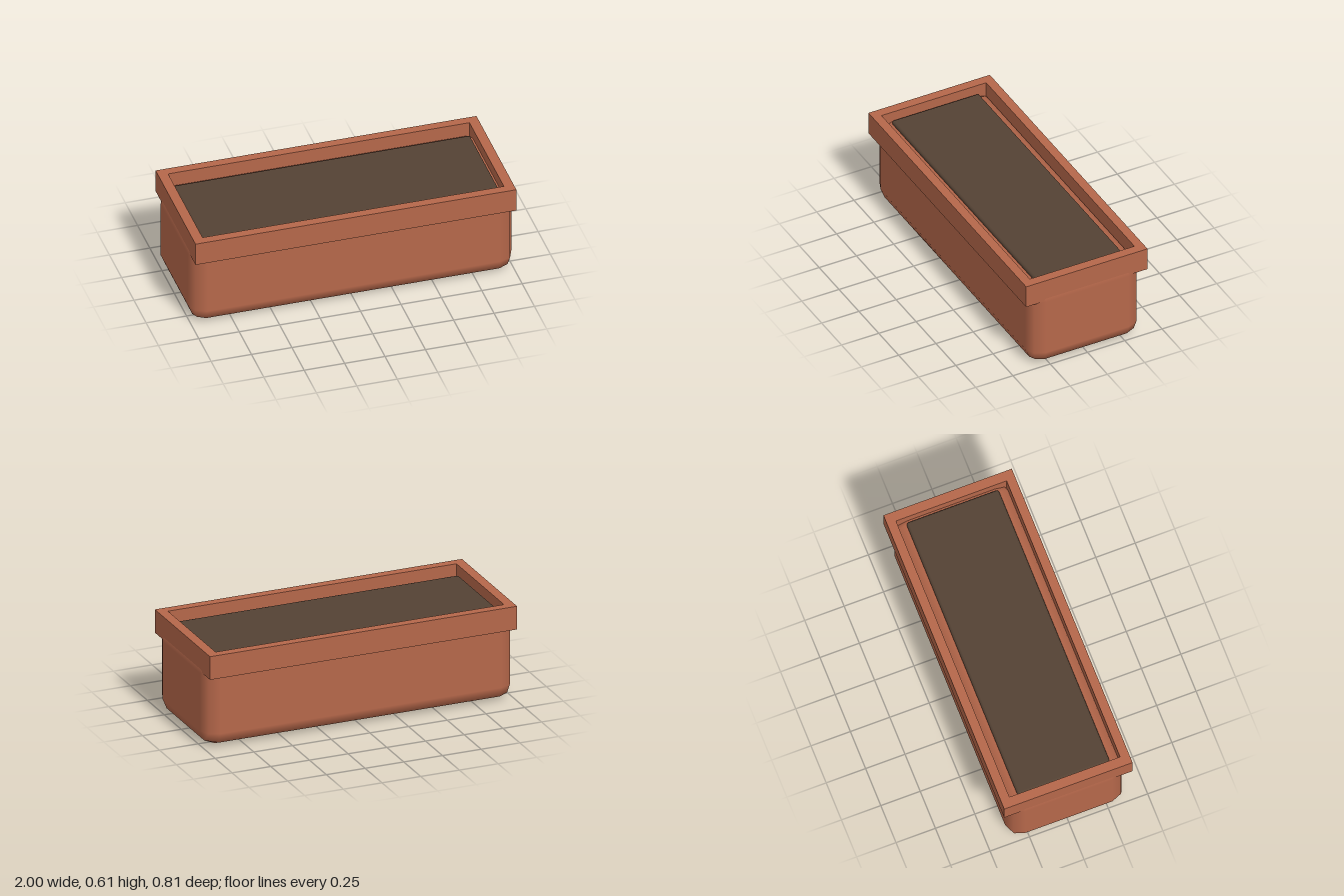
import * as THREE from 'three';
import { RoundedBoxGeometry } from 'three/addons/geometries/RoundedBoxGeometry.js';

const terracotta = new THREE.MeshStandardMaterial({ color: 0xb5674a });
terracotta.name = 'terracotta';
const soilBrown = new THREE.MeshStandardMaterial({ color: 0x544234 });
soilBrown.name = 'soilBrown';

function addPart(group, name, geometry, material, y) {
  const mesh = new THREE.Mesh(geometry, material);
  mesh.name = name;
  mesh.position.y = y;
  group.add(mesh);
  return mesh;
}

// Traces a rectangle centred on the origin
function rectangle(path, halfX, halfZ) {
  path.moveTo(-halfX, -halfZ);
  path.lineTo(halfX, -halfZ);
  path.lineTo(halfX, halfZ);
  path.lineTo(-halfX, halfZ);
  path.closePath();
  return path;
}

export function createModel() {
  const planter = new THREE.Group();
  planter.name = 'planter';

  // Trough with softly rounded edges
  const bodyHeight = 0.555;
  addPart(planter, 'trough', new RoundedBoxGeometry(2, bodyHeight, 0.74, 1, 0.093), terracotta, bodyHeight / 2);

  // Sharp-edged rectangular rim, open in the middle
  const outline = rectangle(new THREE.Shape(), 0.992, 0.407);
  outline.holes.push(rectangle(new THREE.Path(), 0.932, 0.351));
  const rim = new THREE.ExtrudeGeometry(outline, { depth: 0.148, bevelEnabled: false });
  rim.rotateX(-Math.PI / 2);
  addPart(planter, 'rim', rim, terracotta, 0.465);

  // Soil bed sitting just below the rim
  const soilHeight = 0.05;
  addPart(planter, 'soil', new RoundedBoxGeometry(1.836, soilHeight, 0.586, 1, 0.015), soilBrown, 0.568 - soilHeight / 2);

  return planter;
}
